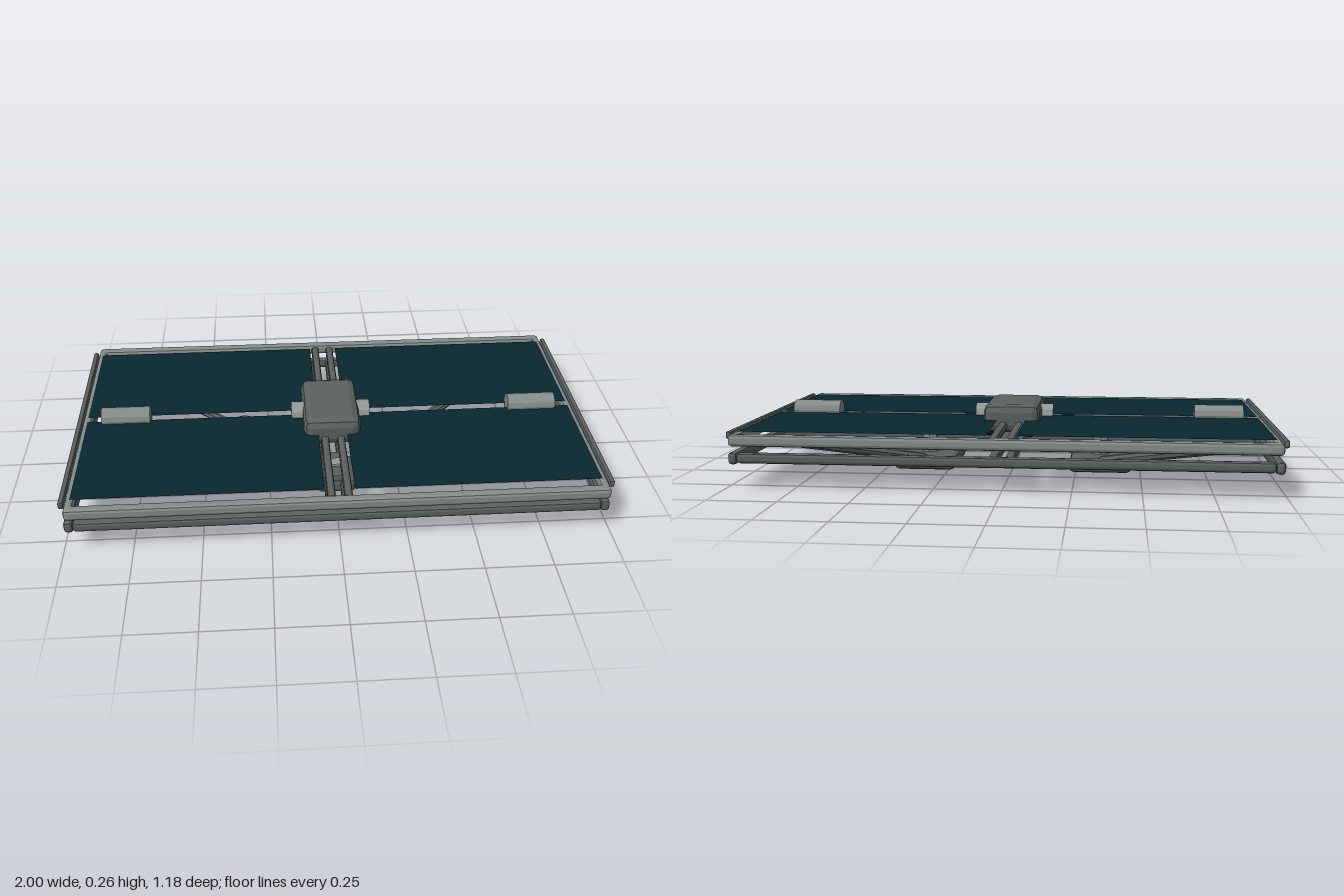
import * as THREE from 'three';
import { RoundedBoxGeometry } from 'three/addons/geometries/RoundedBoxGeometry.js';

export function createModel() {
  const root = new THREE.Group();
  root.name = 'panelFrame';
  const mat = (name, color, extra = {}) => {
    const m = new THREE.MeshStandardMaterial({ color, flatShading: true, ...extra });
    m.name = name;
    return m;
  };
  const steel = mat('steel grey', 0x858c89);
  const dark = mat('dark grey', 0x5a615f);
  const pale = mat('pale grey', 0x929996);
  const teal = mat('deep teal', 0x09272f, { side: THREE.DoubleSide });

  const add = (name, geo, material, x = 0, y = 0, z = 0) => {
    const mesh = new THREE.Mesh(geo, material);
    mesh.name = name;
    mesh.position.set(x, y, z);
    root.add(mesh);
    return mesh;
  };
  // Box with softened edges
  const block = (name, material, w, h, d, x, y, z, r = 0.012) =>
    add(name, new RoundedBoxGeometry(w, h, d, 1, r), material, x, y, z);
  // Short cylinder lying along x
  const barrel = (name, material, r, len, x, y, z) => {
    const m = add(name, new THREE.CylinderGeometry(r, r, len, 12), material, x, y, z);
    m.rotation.z = Math.PI / 2;
    return m;
  };
  // Round rod between two points
  const rod = (name, material, a, b, r) => {
    const from = new THREE.Vector3(...a), to = new THREE.Vector3(...b);
    const m = add(name, new THREE.CylinderGeometry(r, r, from.distanceTo(to), 8), material);
    m.position.copy(from).lerp(to, 0.5);
    m.quaternion.setFromUnitVectors(new THREE.Vector3(0, 1, 0), to.sub(from).normalize());
    return m;
  };

  for (const s of [-1, 1]) {
    // Upper and lower frames
    block('upperLongRail', steel, 1.95, 0.043, 0.04, 0, 0.184, s * 0.57);
    block('upperSideRail', steel, 0.032, 0.043, 1.18, s * 0.962, 0.184, 0);
    block('lowerLongRail', dark, 1.91, 0.038, 0.036, 0, 0.117, s * 0.555);
    block('lowerSideRail', dark, 0.034, 0.044, 1.14, s * 0.97, 0.115, 0);
    block('outerTrim', dark, 0.02, 0.028, 1.09, s * 0.99, 0.196, 0, 0.007);

    // Paired spine bars
    block('upperSpine', dark, 0.03, 0.034, 1.1, s * 0.031, 0.184, 0, 0.01);
    block('lowerSpine', dark, 0.034, 0.038, 1.1, s * 0.03, 0.117, 0);

    // Hub stubs and outer grips
    barrel('hubStub', pale, 0.042, 0.07, s * 0.12, 0.21, 0);
    barrel('grip', steel, 0.039, 0.19, s * 0.807, 0.216, 0);

    // Feet with posts and splayed struts
    block('footPad', dark, 0.24, 0.05, 0.33, s * 0.345, 0.029, 0, 0.018);
    add('post', new THREE.CylinderGeometry(0.037, 0.037, 0.13, 8), steel, s * 0.345, 0.115, 0);
    for (const z of [-1, 1]) {
      rod('strut', dark, [s * 0.35, 0.045, z * 0.12], [s * 0.81, 0.158, z * 0.425], 0.019);

      // Flat sheet in each quarter
      const sheet = new THREE.PlaneGeometry(0.905, 0.505);
      sheet.rotateX(-Math.PI / 2);
      add('panel', sheet, teal, s * 0.5075, 0.207, z * 0.2685);

      // Lead running from the hub to the sheet
      rod('panelLead', teal, [s * 0.06, 0.138, z * 0.09], [s * 0.26, 0.195, z * 0.22], 0.01);
    }
  }

  // Cross bar, central hub and the box on the spine
  block('crossBar', dark, 1.92, 0.034, 0.034, 0, 0.117, 0);
  block('hub', dark, 0.22, 0.11, 0.34, 0, 0.212, 0, 0.03);
  block('spineBox', dark, 0.14, 0.055, 0.17, 0, 0.112, 0.295, 0.015);
  block('spineBoxLid', dark, 0.1, 0.03, 0.16, 0, 0.145, 0.295, 0.008);
  block('spineBoxCap', pale, 0.045, 0.016, 0.045, 0, 0.162, 0.292, 0.004);

  // Rest exactly on the ground
  const base = new THREE.Box3().setFromObject(root).min.y;
  root.children.forEach((c) => { c.position.y -= base; });
  return root;
}
